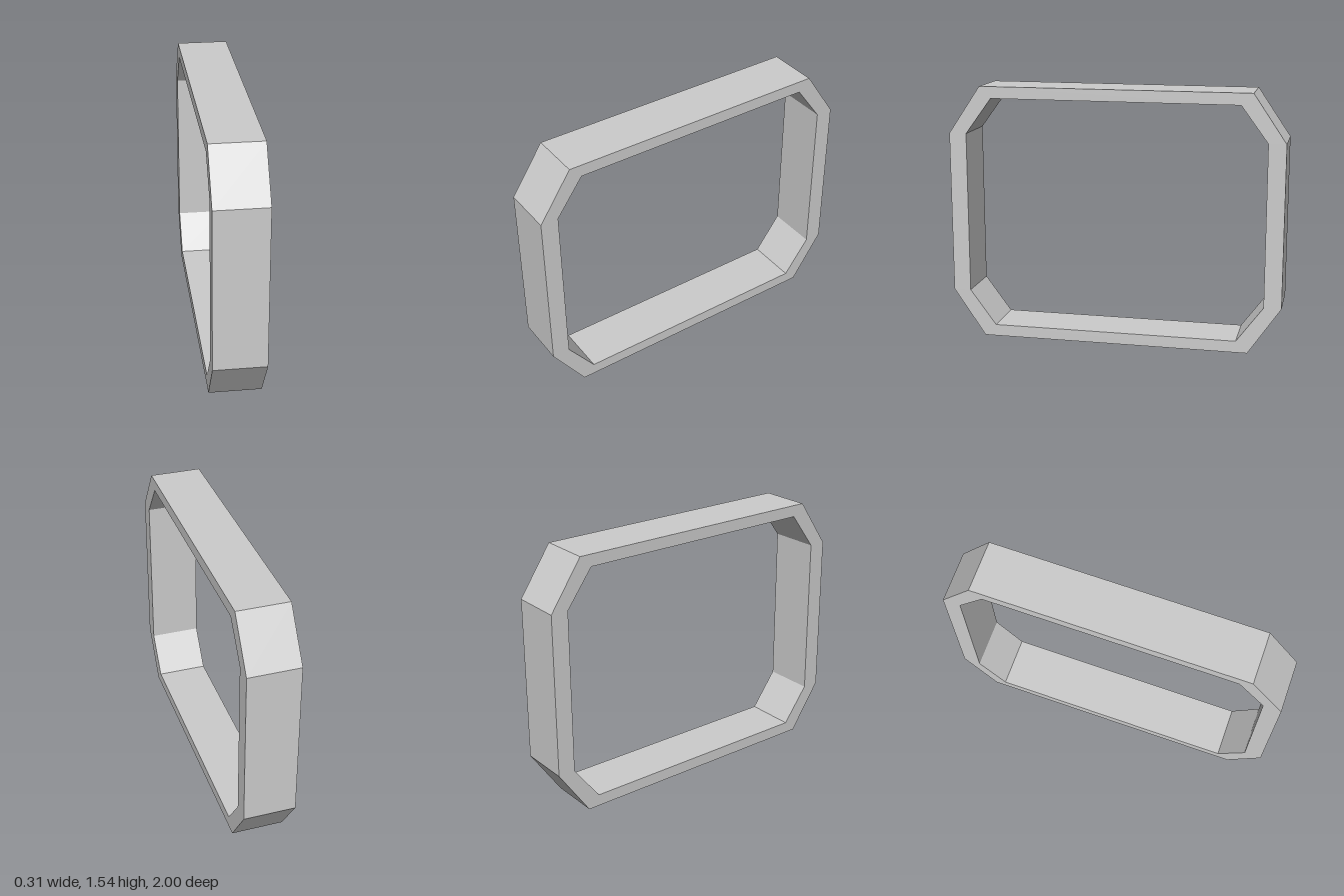
import * as THREE from 'three';

const WIDTH = 0.306;
const MID_Y = 0.768;

// Chamfered rectangle: outer half extents and the half lengths of the straight edges
function octagon(PathType, halfZ, halfY, flatZ, flatY) {
  const corners = [
    [flatZ, -halfY], [halfZ, -flatY], [halfZ, flatY], [flatZ, halfY],
    [-flatZ, halfY], [-halfZ, flatY], [-halfZ, -flatY], [-flatZ, -halfY],
  ];
  return new PathType(corners.map(([z, y]) => new THREE.Vector2(z, y + MID_Y)));
}

export function createModel() {
  const group = new THREE.Group();
  group.name = 'chamferedFrame';

  // Ring profile, open through the middle
  const profile = octagon(THREE.Shape, 1, 0.768, 0.807, 0.484);
  profile.holes.push(octagon(THREE.Path, 0.896, 0.698, 0.738, 0.484));

  // Extruded across the width and turned to lie in the side plane
  const geometry = new THREE.ExtrudeGeometry(profile, { depth: WIDTH, bevelEnabled: false });
  geometry.translate(0, 0, -WIDTH / 2);
  geometry.rotateY(-Math.PI / 2);

  const frame = new THREE.Mesh(
    geometry,
    new THREE.MeshStandardMaterial({ color: 0xcccccc, flatShading: true })
  );
  frame.name = 'frame';
  group.add(frame);
  return group;
}
